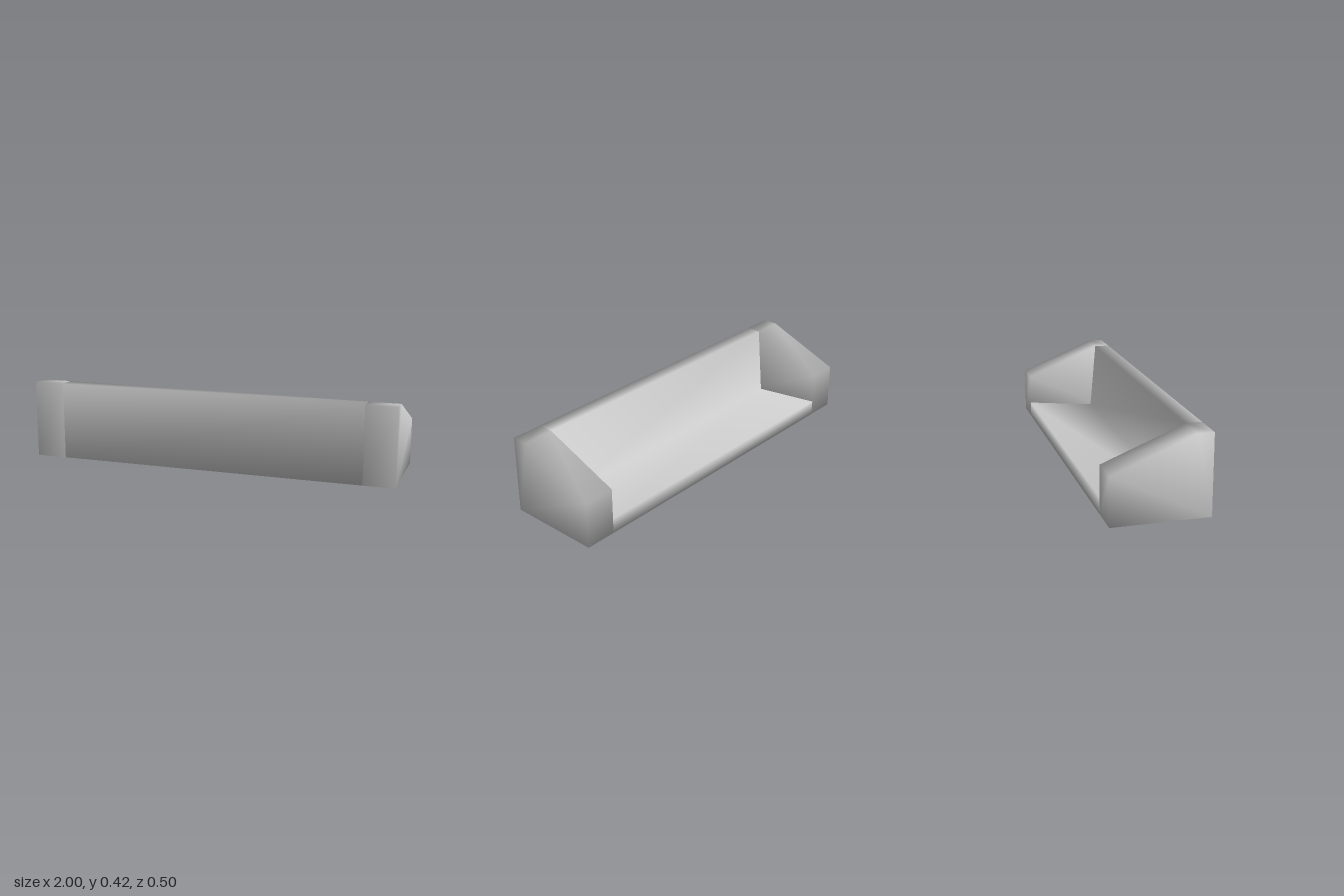
import * as THREE from 'three';
import { mergeVertices } from 'three/addons/utils/BufferGeometryUtils.js';

const HALF = 1, INNER = 0.833;      // half length, inner face of the end blocks
const FRONT = 0.25, BACK = -0.25;   // depth limits
const TOP = 0.417, RIM = 0.167;     // top height, back edge of the flat rim

const material = new THREE.MeshStandardMaterial({ color: 0xcccccc });

// Side profile of [z, y] points swept along x, with normals shared over all edges
function sweep(name, profile, x0, x1) {
  const shape = new THREE.Shape(profile.map(([z, y]) => new THREE.Vector2(z, y)));
  let geometry = new THREE.ExtrudeGeometry(shape, { depth: x1 - x0, bevelEnabled: false });
  geometry.rotateY(-Math.PI / 2).translate(x1, 0, 0);
  geometry.deleteAttribute('normal');
  geometry.deleteAttribute('uv');
  geometry = mergeVertices(geometry, 1e-4);
  geometry.computeVertexNormals();
  const mesh = new THREE.Mesh(geometry, material);
  mesh.name = name;
  return mesh;
}

export function createModel() {
  const model = new THREE.Group();
  model.name = 'trough';

  // End blocks, sloping down towards the back
  const endProfile = [[FRONT, 0], [FRONT, TOP], [RIM, TOP], [BACK, 0.25], [BACK, 0]];
  model.add(sweep('leftEndBlock', endProfile, INNER, HALF));
  model.add(sweep('rightEndBlock', endProfile, -HALF, -INNER));

  // Front wall and low floor in one L-shaped section; the floor dips towards the wall
  const wallProfile = [
    [FRONT, 0], [FRONT, TOP], [RIM, TOP], [0.135, 0.042], [BACK, 0.083], [BACK, 0],
  ];
  model.add(sweep('frontWallAndFloor', wallProfile, -INNER, INNER));

  return model;
}
